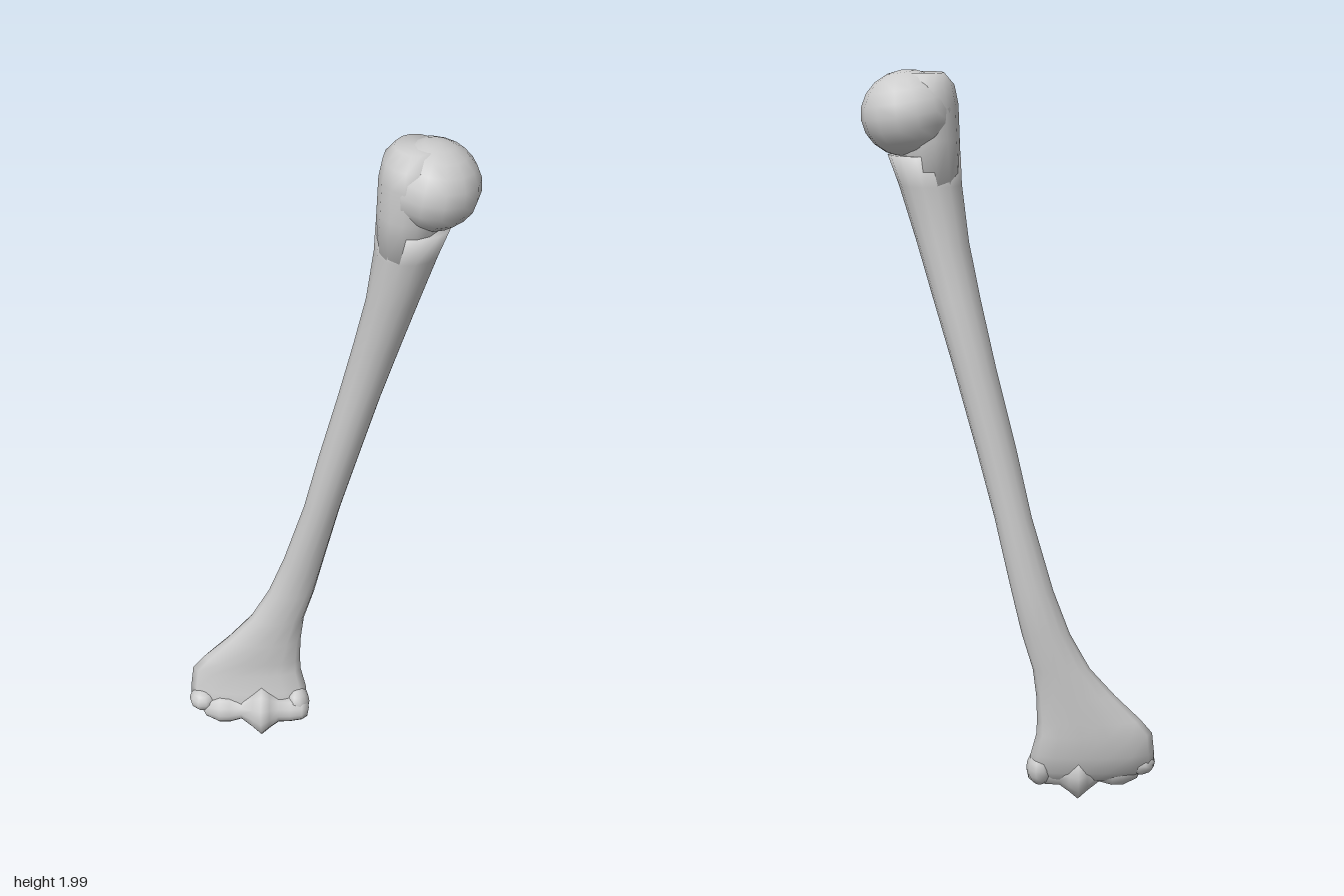
import * as THREE from 'three';

const material = new THREE.MeshStandardMaterial({ color: 0xcccccc });

function add(group, name, geometry) {
  const mesh = new THREE.Mesh(geometry, material);
  mesh.name = name;
  group.add(mesh);
  return mesh;
}

// Closed loft through oval sections: [y, xMin, xMax, zBack, zFront], bottom to top
function loft(sections, sides) {
  const pos = [], index = [];
  for (const [y, x0, x1, z0, z1] of sections) {
    for (let j = 0; j < sides; j++) {
      const a = (j / sides) * Math.PI * 2;
      const c = Math.cos(a), s = Math.sin(a);
      // shallow hollows front and back where the lower end flares
      const hollow = 0.18 * Math.max(0, 1 - Math.abs(y - 0.2) / 0.13) * s * s;
      pos.push((x0 + x1) / 2 + (x1 - x0) / 2 * c, y, (z0 + z1) / 2 + (z1 - z0) / 2 * s * (1 - hollow));
    }
  }
  const last = sections.length - 1;
  for (let i = 0; i < last; i++) {
    for (let j = 0; j < sides; j++) {
      const k = (j + 1) % sides;
      const a = i * sides + j, b = i * sides + k;
      index.push(a, a + sides, b, b, a + sides, b + sides);
    }
  }
  // end caps
  const bottom = pos.length / 3, top = bottom + 1;
  for (const i of [0, last]) {
    const [y, x0, x1, z0, z1] = sections[i];
    pos.push((x0 + x1) / 2, y, (z0 + z1) / 2);
  }
  for (let j = 0; j < sides; j++) {
    const k = (j + 1) % sides;
    index.push(bottom, j, k, top, last * sides + k, last * sides + j);
  }
  const g = new THREE.BufferGeometry();
  g.setAttribute('position', new THREE.Float32BufferAttribute(pos, 3));
  g.setIndex(index);
  g.computeVertexNormals();
  return g;
}

export function createModel() {
  const bone = new THREE.Group();
  bone.name = 'upperArmBone';

  // Slanting shaft, flared at the elbow and thickened under the head
  add(bone, 'shaft', loft([
    [0.07, -0.32, -0.06, -0.10, -0.04],
    [0.10, -0.39, -0.045, -0.125, -0.03],
    [0.15, -0.39, -0.05, -0.145, -0.04],
    [0.21, -0.383, -0.065, -0.152, -0.05],
    [0.25, -0.35, -0.067, -0.15, -0.055],
    [0.32, -0.28, -0.065, -0.146, -0.062],
    [0.40, -0.21, -0.055, -0.146, -0.068],
    [0.50, -0.155, -0.025, -0.147, -0.067],
    [0.62, -0.11, 0.003, -0.146, -0.06],
    [0.82, -0.052, 0.048, -0.128, -0.033],
    [1.00, -0.012, 0.095, -0.112, -0.006],
    [1.22, 0.042, 0.155, -0.096, 0.014],
    [1.40, 0.082, 0.207, -0.078, 0.043],
    [1.55, 0.112, 0.25, -0.058, 0.075],
    [1.70, 0.13, 0.296, -0.054, 0.105],
    [1.78, 0.133, 0.325, -0.058, 0.118],
  ], 14));

  // Blunt knob beside the head
  add(bone, 'upperKnob', loft([
    [1.70, 0.131, 0.29, -0.053, 0.104],
    [1.82, 0.135, 0.30, -0.062, 0.125],
    [1.91, 0.138, 0.30, -0.066, 0.13],
    [1.96, 0.148, 0.29, -0.062, 0.12],
    [1.992, 0.175, 0.28, -0.035, 0.085],
  ], 14));

  // Rounded joint head
  const head = add(bone, 'head', new THREE.SphereGeometry(1, 14, 10));
  head.scale.set(0.124, 0.113, 0.13);
  head.position.set(0.27, 1.887, 0.024);
  head.rotation.z = -0.15;

  // Spool-shaped elbow joint: [x, radius] along its axis
  const spool = [[-0.36, 0], [-0.345, 0.028], [-0.305, 0.046], [-0.275, 0.046], [-0.24, 0.036],
    [-0.205, 0.062], [-0.18, 0.083], [-0.155, 0.062], [-0.13, 0.044], [-0.095, 0.042],
    [-0.06, 0.036], [-0.045, 0.025], [-0.04, 0]];
  const spoolGeometry = new THREE.LatheGeometry(spool.map(([x, r]) => new THREE.Vector2(r, x)), 12);
  spoolGeometry.rotateZ(-Math.PI / 2);
  add(bone, 'elbowSpool', spoolGeometry).position.set(0, 0.092, -0.06);

  // Small knobs at both sides of the elbow
  for (const [name, x, y, z, rx, ry, rz] of [
    ['outerElbowKnob', -0.355, 0.115, -0.072, 0.04, 0.034, 0.042],
    ['innerElbowKnob', -0.075, 0.105, -0.075, 0.036, 0.05, 0.045],
  ]) {
    const knob = add(bone, name, new THREE.SphereGeometry(1, 10, 8));
    knob.position.set(x, y, z);
    knob.scale.set(rx, ry, rz);
  }
  return bone;
}
